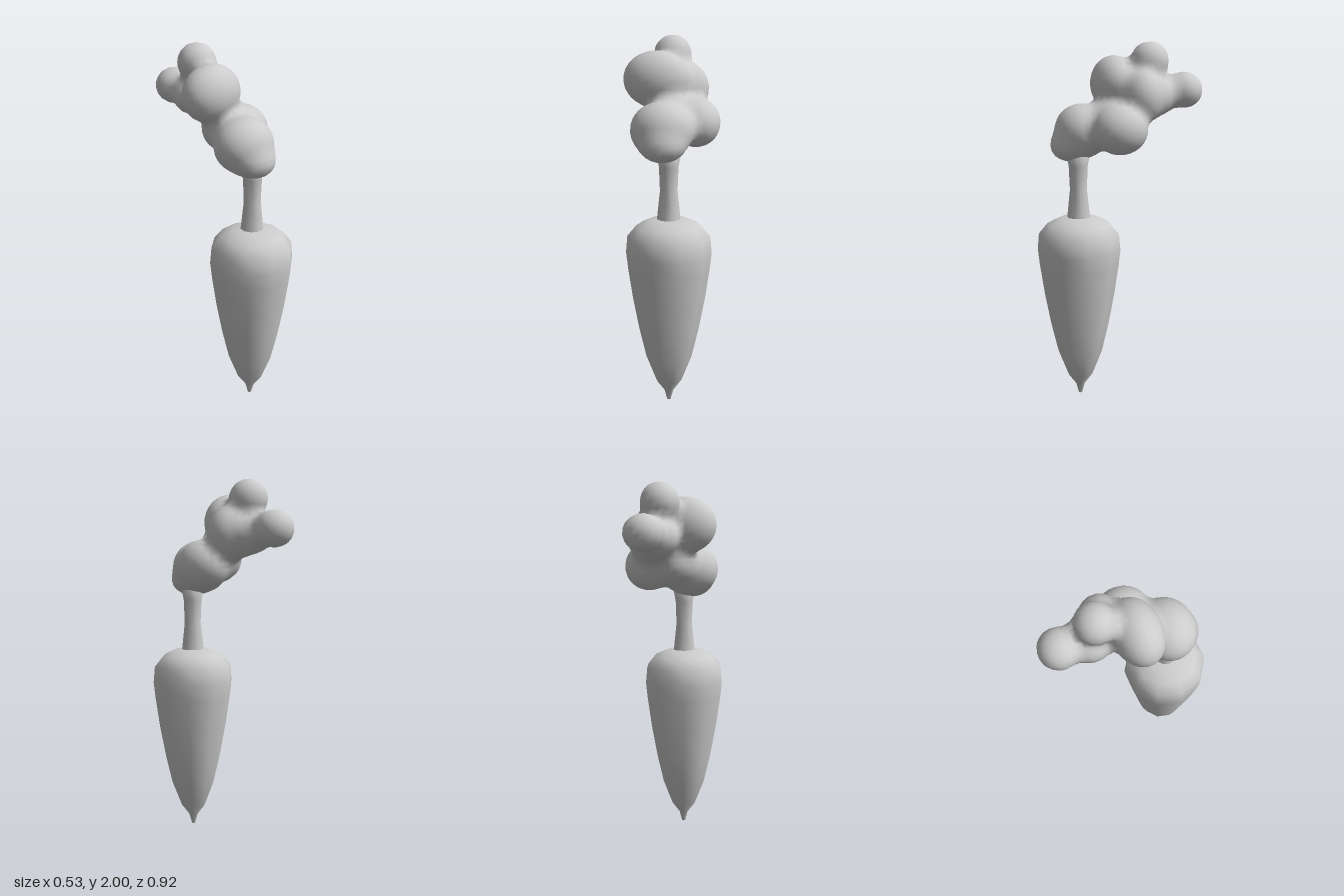
import * as THREE from 'three';

// Leaf clumps: centre and radii of each ellipsoid
const CLUMPS = [
  [-0.045, 1.52, 0.21, 0.17, 0.15, 0.15],  // front
  [-0.04, 1.44, 0.29, 0.11, 0.08, 0.095],  // front lip
  [0.13, 1.54, 0.04, 0.135, 0.135, 0.15],  // left side
  [-0.085, 1.77, 0.015, 0.18, 0.155, 0.13], // upper right
  [0.06, 1.71, -0.1, 0.14, 0.15, 0.12],    // core
  [0.0, 1.57, 0.05, 0.13, 0.13, 0.14],     // underside
  [0.01, 1.71, -0.2, 0.125, 0.11, 0.11],   // rear neck
  [-0.005, 1.895, -0.165, 0.105, 0.105, 0.105], // top bud
  [0.015, 1.735, -0.355, 0.108, 0.1, 0.105],    // rear bud
];

// Distance to the softly merged clumps
function field(x, y, z) {
  const k = 0.055;
  let d = 10;
  for (const [cx, cy, cz, rx, ry, rz] of CLUMPS) {
    const a = (x - cx) / rx, b = (y - cy) / ry, c = (z - cz) / rz;
    const k0 = Math.hypot(a, b, c), k1 = Math.hypot(a / rx, b / ry, c / rz);
    const e = k1 < 1e-6 ? -Math.min(rx, ry, rz) : k0 * (k0 - 1) / k1;
    const h = Math.max(k - Math.abs(d - e), 0) / k;
    d = Math.min(d, e) - h * h * k * 0.25;
  }
  return d;
}

function gradient(p) {
  const e = 0.002;
  return new THREE.Vector3(
    field(p.x + e, p.y, p.z) - field(p.x - e, p.y, p.z),
    field(p.x, p.y + e, p.z) - field(p.x, p.y - e, p.z),
    field(p.x, p.y, p.z + e) - field(p.x, p.y, p.z - e)).normalize();
}

// Grid skin over the field: one vertex per crossed cell, one quad per crossed edge
function skinGeometry(min, max, cell) {
  const n = min.map((m, i) => Math.ceil((max[i] - m) / cell));
  const at = (q) => field(...q.map((v, i) => min[i] + v * cell));
  const positions = [], normals = [], index = [], known = new Map();

  const vertex = (q) => {
    const key = q.join();
    if (known.has(key)) return known.get(key);
    const p = new THREE.Vector3(...q.map((v, i) => min[i] + (v + 0.5) * cell));
    for (let s = 0; s < 5; s++) p.addScaledVector(gradient(p), -field(p.x, p.y, p.z) * 0.9);
    positions.push(p.x, p.y, p.z);
    normals.push(...gradient(p).toArray());
    known.set(key, known.size);
    return known.size - 1;
  };

  for (let i = 1; i < n[0]; i++) for (let j = 1; j < n[1]; j++) for (let k = 1; k < n[2]; k++) {
    const q = [i, j, k], inside = at(q) < 0;
    for (let a = 0; a < 3; a++) {
      const next = q.slice();
      next[a]++;
      if (inside === at(next) < 0) continue;
      const u = (a + 1) % 3, v = (a + 2) % 3;
      const corner = (du, dv) => {
        const c = q.slice();
        c[u] -= du;
        c[v] -= dv;
        return vertex(c);
      };
      const f = [corner(1, 1), corner(0, 1), corner(0, 0), corner(1, 0)];
      if (!inside) f.reverse();
      index.push(f[0], f[1], f[2], f[0], f[2], f[3]);
    }
  }
  const g = new THREE.BufferGeometry();
  g.setAttribute('position', new THREE.Float32BufferAttribute(positions, 3));
  g.setAttribute('normal', new THREE.Float32BufferAttribute(normals, 3));
  g.setIndex(index);
  return g;
}

export function createModel() {
  const group = new THREE.Group();
  const material = new THREE.MeshStandardMaterial({ color: 0xcccccc });
  const add = (name, geometry, x = 0, z = 0) => {
    const mesh = new THREE.Mesh(geometry, material);
    mesh.name = name;
    mesh.position.set(x, 0, z);
    group.add(mesh);
  };
  const lathe = (profile, sides) => new THREE.LatheGeometry(
    profile.map(([r, y]) => new THREE.Vector2(r, y)), sides, Math.PI / 2);

  // Tapered root with a small tip
  add('root', lathe([
    [0, 0], [0.01, 0.005], [0.025, 0.06], [0.07, 0.12], [0.125, 0.26], [0.163, 0.42],
    [0.197, 0.6], [0.222, 0.77], [0.232, 0.86], [0.224, 0.95], [0.175, 1.01],
    [0.1, 1.045], [0, 1.05],
  ], 10), -0.008, 0.242);

  // Waisted stalk
  add('stalk', lathe([
    [0.064, 1.03], [0.062, 1.06], [0.047, 1.2], [0.052, 1.33], [0.07, 1.42], [0, 1.46],
  ], 10), -0.008, 0.242);

  // Lumpy leaf head leaning to the back
  add('leaves', skinGeometry([-0.36, 1.25, -0.55], [0.36, 2.1, 0.5], 0.035));

  return group;
}
